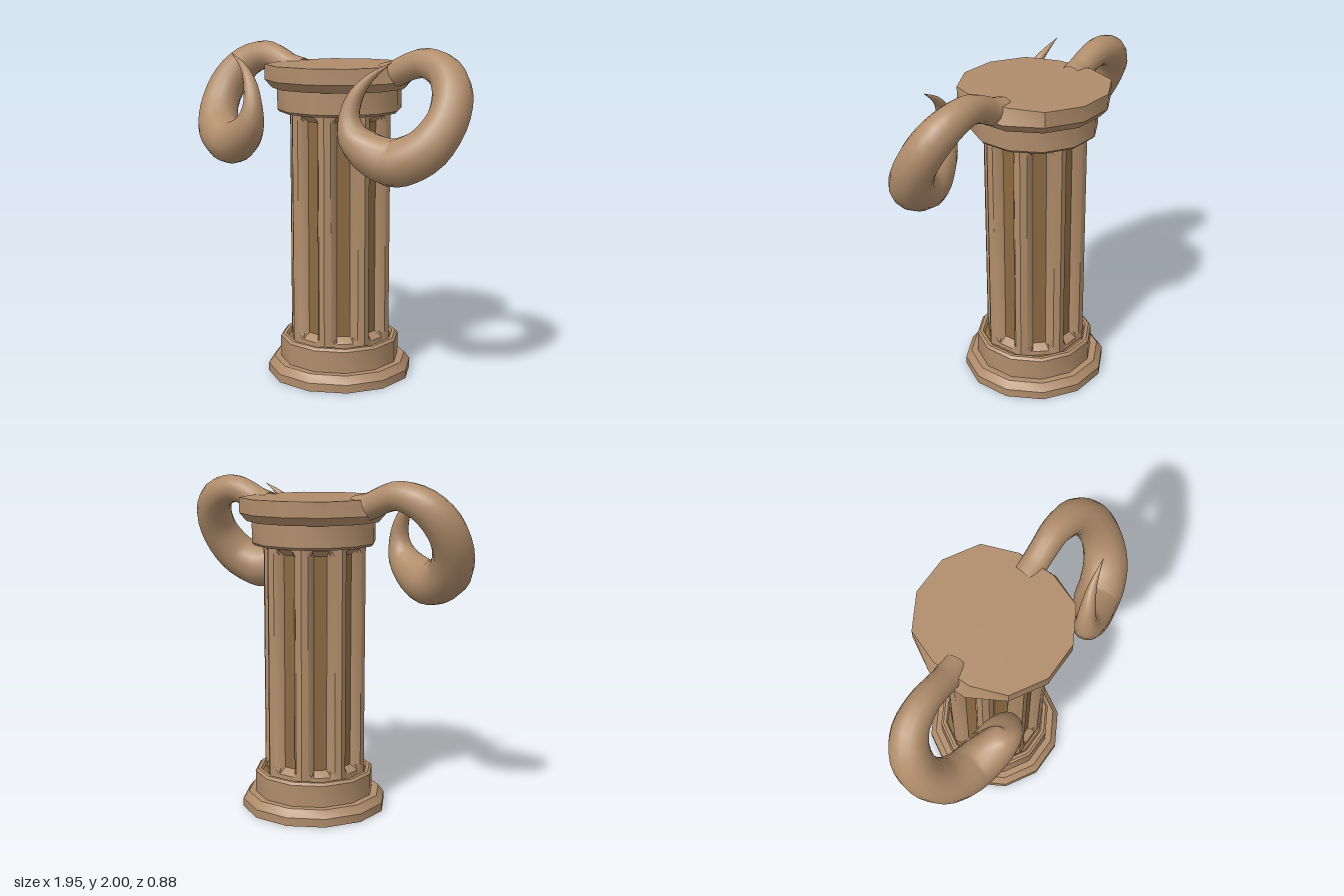
import * as THREE from 'three';
import { toCreasedNormals } from 'three/addons/utils/BufferGeometryUtils.js';

const stone = new THREE.MeshStandardMaterial({ color: 0xb08d6b, side: THREE.DoubleSide });
const dark = new THREE.MeshStandardMaterial({ color: 0x8c6b42, side: THREE.DoubleSide });
const V = (x, y, z) => new THREE.Vector3(x, y, z);

function add(parent, name, geometry, material = stone) {
  const mesh = new THREE.Mesh(geometry, material);
  mesh.name = name;
  parent.add(mesh);
  return mesh;
}

// Twelve-sided turned piece with flats facing front and sides
function turned(profile) {
  return new THREE.LatheGeometry(profile.map(([r, y]) => new THREE.Vector2(r, y)), 12, Math.PI / 12);
}

// Skin over a list of closed rings with equal point counts
function loft(rings) {
  const n = rings[0].length, pos = [], index = [];
  rings.forEach(ring => ring.forEach(p => pos.push(p.x, p.y, p.z)));
  for (let i = 0; i < rings.length - 1; i++) {
    for (let j = 0; j < n; j++) {
      const k = (j + 1) % n, a = i * n + j, b = i * n + k;
      index.push(a, b, a + n, b, b + n, a + n);
    }
  }
  const g = new THREE.BufferGeometry();
  g.setAttribute('position', new THREE.Float32BufferAttribute(pos, 3));
  g.setIndex(index);
  g.computeVertexNormals();
  return g;
}

// Shaft with eight rounded lobes; the flutes run out at both ends
function shaftGeometry() {
  const lobe = [[9, 0.243], [11, 0.27], [15.5, 0.299], [22.5, 0.312], [29.5, 0.299], [34, 0.27], [36, 0.243]];
  const ring = (y, least) => {
    const pts = [];
    for (let i = 0; i < 8; i++) {
      for (const [deg, r] of lobe) {
        const a = THREE.MathUtils.degToRad(deg + 45 * i), q = Math.max(r, least);
        pts.push(V(Math.sin(a) * q, y, Math.cos(a) * q));
      }
    }
    return pts;
  };
  return loft([ring(0.21, 0.29), ring(0.25, 0.29), ring(0.285, 0), ring(1.565, 0), ring(1.6, 0.29), ring(1.64, 0.29)]);
}

// Curled horn: x, y, z and thickness radius along its path
const hornPath = [
  [0.32, 1.83, -0.04, 0.08], [0.41, 1.855, -0.03, 0.077], [0.5, 1.895, -0.03, 0.078],
  [0.61, 1.918, -0.03, 0.085], [0.75, 1.87, -0.01, 0.1], [0.84, 1.76, 0.05, 0.112],
  [0.857, 1.62, 0.13, 0.117], [0.8, 1.49, 0.21, 0.128], [0.7, 1.42, 0.26, 0.133],
  [0.6, 1.4, 0.285, 0.132], [0.48, 1.45, 0.325, 0.115], [0.395, 1.53, 0.35, 0.09],
  [0.367, 1.64, 0.35, 0.06], [0.4, 1.76, 0.33, 0.042], [0.48, 1.86, 0.3, 0.022], [0.6, 1.94, 0.278, 0.001]
];

function hornGeometry(side) {
  const curve = new THREE.CatmullRomCurve3(hornPath.map(([x, y, z]) => V(side * x, y, z)), false, 'catmullrom');
  const thickness = new THREE.CatmullRomCurve3(hornPath.map(p => V(p[3], 0, 0)), false, 'catmullrom');
  const axis = V(0, 0.55, 0.85).normalize(), steps = 45, sides = 14, rings = [];
  for (let i = 0; i <= steps; i++) {
    const t = i / steps, c = curve.getPoint(t), r = thickness.getPoint(t).x;
    const tangent = curve.getTangent(t);
    const n = axis.clone().cross(tangent).normalize();
    const b = tangent.clone().cross(n);
    const ring = [];
    for (let j = 0; j < sides; j++) {
      const a = (j / sides) * Math.PI * 2;
      ring.push(c.clone().addScaledVector(n, Math.cos(a) * r).addScaledVector(b, Math.sin(a) * r));
    }
    rings.push(ring);
  }
  return loft(rings);
}

export function createModel() {
  const model = new THREE.Group();
  model.name = 'hornedColumn';
  const column = new THREE.Group();
  column.name = 'column';
  column.position.z = -0.013;
  model.add(column);

  // Base: chamfered plinth and the ring with a lip around the shaft
  add(column, 'plinth', toCreasedNormals(turned([[0, 0], [0.44, 0], [0.44, 0.05], [0.405, 0.095], [0, 0.095]]), 0.6));
  add(column, 'baseRing', toCreasedNormals(turned([[0.363, 0.09], [0.363, 0.225], [0.348, 0.24], [0.328, 0.24], [0.318, 0.222]]), 0.6));
  add(column, 'baseRecess', turned([[0.32, 0.222], [0.2, 0.222]]), dark);

  // Shaft and the darker flute floors
  add(column, 'shaft', toCreasedNormals(shaftGeometry(), 0.6));
  for (let i = 0; i < 8; i++) {
    const a = (i * Math.PI) / 4;
    const panel = add(column, 'fluteFloor', new THREE.PlaneGeometry(0.074, 1.28), dark);
    panel.position.set(Math.sin(a) * 0.243, 0.925, Math.cos(a) * 0.243);
    panel.rotation.y = a;
  }

  // Capital: lipped ring below a chamfered slab
  add(column, 'capitalRecess', turned([[0.2, 1.628], [0.32, 1.628]]), dark);
  add(column, 'capitalRing', toCreasedNormals(turned([[0.318, 1.628], [0.328, 1.61], [0.355, 1.61], [0.37, 1.625], [0.37, 1.77]]), 0.6));
  const slab = turned([[0, 1.752], [0.4, 1.752], [0.442, 1.8], [0.442, 1.89], [0, 1.89]]);
  // The slab's upper rim is drawn in where the horns grow out
  const p = slab.attributes.position;
  for (let i = 0; i < p.count; i++) {
    if (p.getY(i) > 1.85) p.setX(i, THREE.MathUtils.clamp(p.getX(i), -0.387, 0.387));
  }
  add(column, 'capitalSlab', toCreasedNormals(slab, 0.6));

  // Horns, mirrored on both sides
  add(model, 'leftHorn', hornGeometry(1));
  add(model, 'rightHorn', hornGeometry(-1));
  return model;
}
